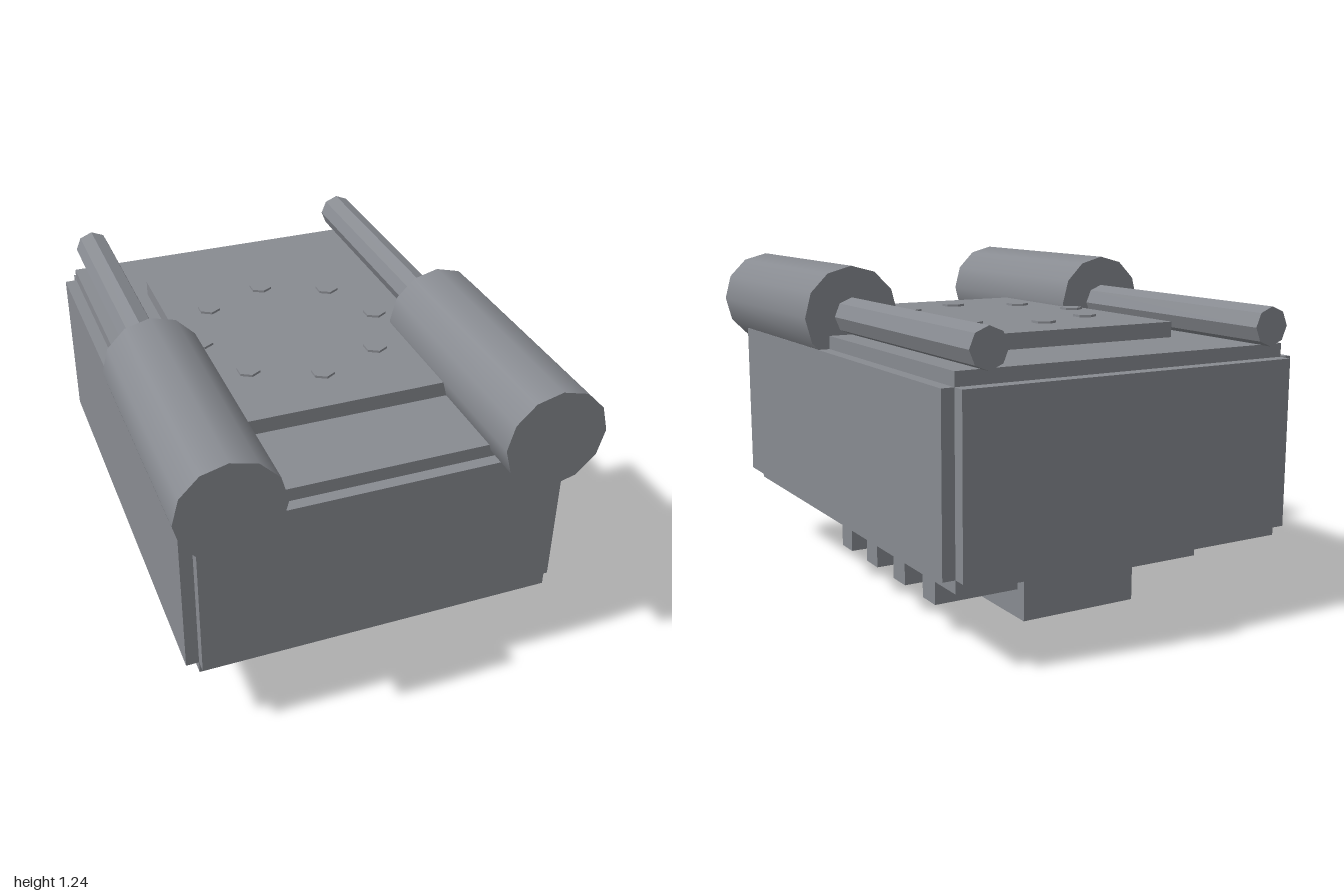
import * as THREE from 'three';

const smooth = new THREE.MeshStandardMaterial({ color: 0x888b91 });
const flat = new THREE.MeshStandardMaterial({ color: 0x888b91, flatShading: true });

export function createModel() {
  const model = new THREE.Group();
  model.name = 'machineBlock';

  const add = (name, geometry, material, x, y, z) => {
    const mesh = new THREE.Mesh(geometry, material);
    mesh.name = name;
    mesh.position.set(x, y, z);
    model.add(mesh);
  };

  // Box centred on x, given half width and its y and z ranges
  const box = (name, halfX, y0, y1, z0, z1) =>
    add(name, new THREE.BoxGeometry(halfX * 2, y1 - y0, z1 - z0), flat, 0, (y0 + y1) / 2, (z0 + z1) / 2);

  // Cylinder lying along z
  const tube = (name, r, sides, material, x, y, z0, z1) =>
    add(name, new THREE.CylinderGeometry(r, r, z1 - z0, sides).rotateX(Math.PI / 2), material, x, y, (z0 + z1) / 2);

  // Body: core with raised panels on the sides and ends
  box('bodyCore', 0.667, 0.263, 0.98, -0.95, 0.857);
  box('sidePanels', 0.714, 0.31, 0.93, -0.95, 0.857);
  box('endPanels', 0.667, 0.31, 0.93, -1, 0.902);

  // Top cover with a ring of hexagonal bolts
  box('topCover', 0.428, 0.97, 1.038, -0.62, 0.52);
  const boltCount = 8;
  for (let i = 0; i < boltCount; i++) {
    const a = (i / boltCount) * Math.PI * 2;
    add('coverBolt', new THREE.CylinderGeometry(0.045, 0.045, 0.02, 6), flat,
      0.357 * Math.cos(a), 1.037, -0.05 + 0.357 * Math.sin(a));
  }

  // Cylinders and their rods along both top edges
  for (const side of [-1, 1]) {
    tube('topCylinder', 0.19, 12, smooth, side * 0.572, 1.05, 0.048, 1);
    tube('cylinderRod', 0.071, 8, flat, side * 0.572, 1.05, -1, 0.06);
  }

  // Cross bars and block under the body
  for (let i = 0; i < 4; i++) {
    const z = 0.146 - i * 0.24;
    box('crossBar', 0.572, 0.108, 0.27, z - 0.0475, z + 0.0475);
  }
  box('bottomBlock', 0.238, 0, 0.27, -0.665, -0.19);

  return model;
}
